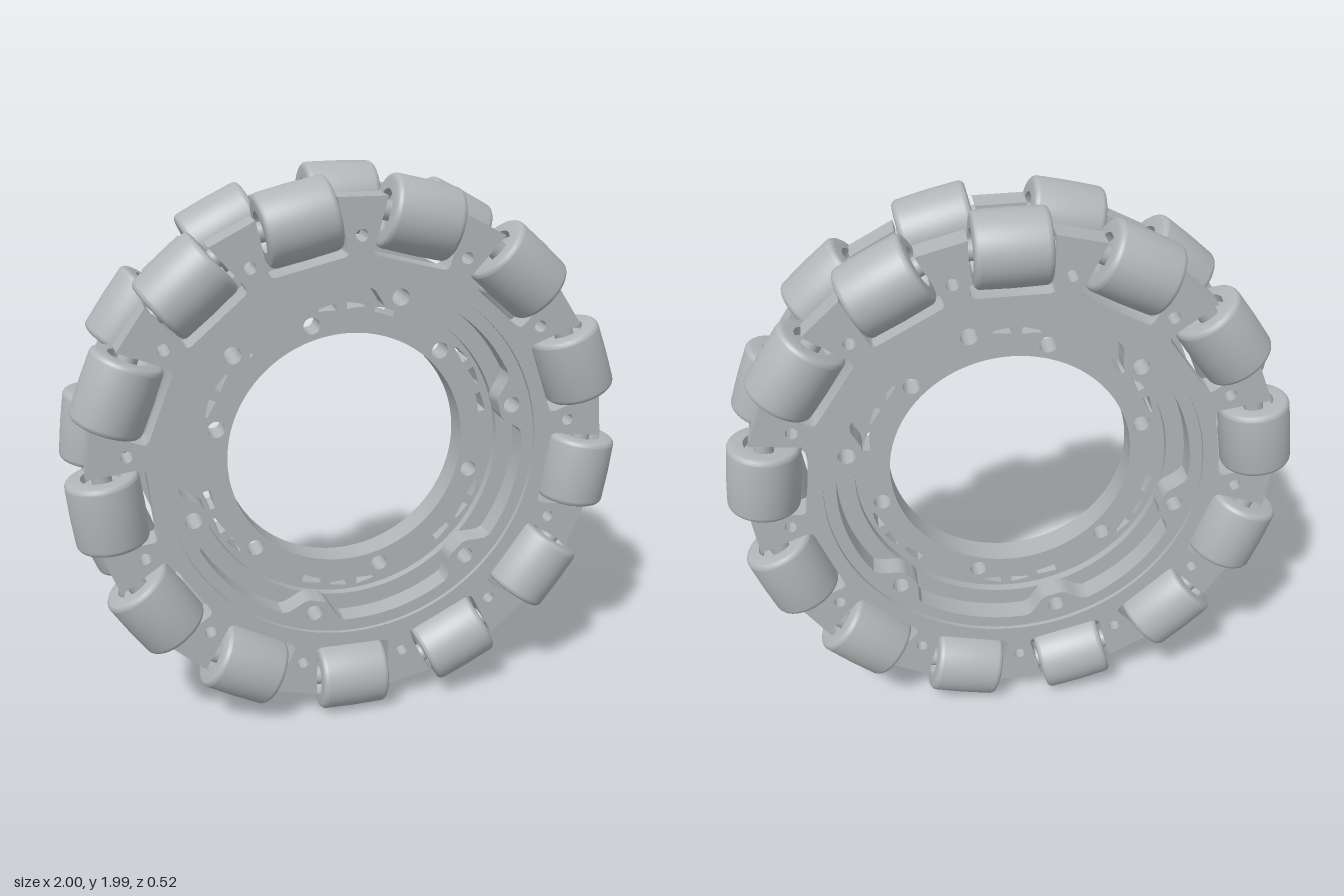
import * as THREE from 'three';
import { toCreasedNormals } from 'three/addons/utils/BufferGeometryUtils.js';

const N = 13;                       // rollers per row
const STEP = (Math.PI * 2) / N;
const RAD = Math.PI / 180;
const START = -91 * RAD;            // angle of the lowest front roller
const ROW_Z = 0.132;

const polar = (r, a) => new THREE.Vector2(r * Math.cos(a), r * Math.sin(a));

function circle(r, a, radius) {
  const c = polar(r, a);
  return new THREE.Path().absarc(c.x, c.y, radius, 0, Math.PI * 2, true);
}

function loop(fn, n = 180) {
  return Array.from({ length: n }, (_, i) => {
    const a = (i / n) * Math.PI * 2;
    return polar(fn(a), a);
  });
}

// Curved slot following the ring; one end may be narrower than the other
function slot(a0, a1, r0, w0, w1) {
  const pts = [];
  for (let i = 0; i <= 6; i++) pts.push(polar(r0 + w0 + ((w1 - w0) * i) / 6, a0 + ((a1 - a0) * i) / 6));
  for (let i = 6; i >= 0; i--) pts.push(polar(r0 - w0 - ((w1 - w0) * i) / 6, a0 + ((a1 - a0) * i) / 6));
  return new THREE.Path(pts);
}

// Flat plate between two depths
function plate(outline, holes, z0, z1) {
  const shape = new THREE.Shape(outline);
  shape.holes.push(...holes);
  const geo = new THREE.ExtrudeGeometry(shape, { depth: z1 - z0, bevelEnabled: false, curveSegments: 16 });
  geo.translate(0, 0, z0);
  return toCreasedNormals(geo, 0.5);
}

// Rim outline: a tab between each pair of roller pockets
function rimOutline(offset) {
  const pts = [];
  const half = 0.138, floor = 0.722, top = 0.93, f = 0.018;
  for (let i = 0; i < N; i++) {
    const a = offset + i * STEP;
    const put = (u, v) => pts.push(new THREE.Vector2(
      u * Math.cos(a) - v * Math.sin(a), u * Math.sin(a) + v * Math.cos(a)));
    const edge = Math.sqrt(top * top - half * half);
    put(edge, -half);
    put(floor + f, -half);
    put(floor + f * 0.3, -half + f * 0.3);
    put(floor, -half + f);
    put(floor, half - f);
    put(floor + f * 0.3, half - f * 0.3);
    put(floor + f, half);
    put(edge, half);
  }
  return pts;
}

// Barrel roller with rounded rims and a recessed bore, axis along y
function rollerGeometry() {
  const R = 0.127, h = 0.125, f = 0.02;
  const p = [[0.032, -h + 0.03], [0.066, -h + 0.03], [0.07, -h]];
  for (let i = 0; i <= 5; i++) {
    const t = (i / 5) * Math.PI / 2;
    p.push([R - 0.002 - f + f * Math.sin(t), -h + f - f * Math.cos(t)]);
  }
  p.push([R, 0]);
  const mirrored = p.slice(0, -1).reverse().map(([r, y]) => [r, -y]);
  const pts = p.concat(mirrored).map(([r, y]) => new THREE.Vector2(r, y));
  return toCreasedNormals(new THREE.LatheGeometry(pts, 48), 0.6);
}

export function createModel() {
  const model = new THREE.Group();
  model.name = 'omniWheel';
  const grey = new THREE.MeshStandardMaterial({ color: 0xb2b5b7 });
  grey.name = 'grey';

  const wheel = new THREE.Group();
  wheel.name = 'wheel';
  wheel.position.y = 1;
  model.add(wheel);

  const add = (parent, name, geo) => {
    const mesh = new THREE.Mesh(geo, grey);
    mesh.name = name;
    parent.add(mesh);
    return mesh;
  };

  const six = [0, 1, 2, 3, 4, 5].map((i) => i * 60 * RAD);
  const outerBolts = () => six.map((a) => circle(0.6, a + 15 * RAD, 0.03));
  const innerBolts = () => six.map((a) => circle(0.486, a + 45 * RAD, 0.03));

  // Wavy inner edge: a lobe reaches inward around each outer bolt
  const wavy = (a) => {
    const deg = ((a / RAD - 15 + 390) % 60) - 30;
    return 0.625 - 0.073 * (1 - THREE.MathUtils.smoothstep(Math.abs(deg), 3, 11));
  };

  // Hub ring with bolt holes and slots
  const slots = six.flatMap((a) => [
    slot(a + 11 * RAD, a + 19 * RAD, 0.522, 0.014, 0.009),
    slot(a + 23 * RAD, a + 30 * RAD, 0.533, 0.004, 0.012),
    slot(a + 34 * RAD, a + 41 * RAD, 0.532, 0.013, 0.004),
  ]);
  add(wheel, 'hubRing', plate(loop(() => 0.568),
    [new THREE.Path(loop(() => 0.435)), ...innerBolts(), ...slots], -0.05, 0.05));

  // Spacer ring joining the two rows
  add(wheel, 'spacerRing', plate(loop(() => 0.655),
    [new THREE.Path(loop(() => 0.56)), ...outerBolts()], -0.082, 0.082));

  const rollerGeo = rollerGeometry();
  const axleGeo = new THREE.CylinderGeometry(0.034, 0.034, 0.3, 20);

  // Front and back rows, turned half a step from each other
  for (const side of [1, -1]) {
    const row = new THREE.Group();
    row.name = side > 0 ? 'frontRow' : 'backRow';
    wheel.add(row);
    const offset = START + (side > 0 ? 0 : STEP / 2);
    const span = (lo, hi) => (side > 0 ? [lo, hi] : [-hi, -lo]);

    add(row, 'boltFlange', plate(loop(() => 0.68),
      [new THREE.Path(loop(wavy)), ...outerBolts()], ...span(0.08, 0.165)));

    const pinHoles = Array.from({ length: N }, (_, i) => circle(0.8, offset + (i + 0.5) * STEP, 0.021));
    add(row, 'rimPlate', plate(rimOutline(offset),
      [new THREE.Path(loop(() => 0.67)), ...pinHoles], ...span(0.085, 0.18)));

    for (let i = 0; i < N; i++) {
      const a = offset + i * STEP;
      const c = polar(0.868, a);
      for (const [name, geo] of [['roller', rollerGeo], ['axle', axleGeo]]) {
        const mesh = add(row, name, geo);
        mesh.position.set(c.x, c.y, side * ROW_Z);
        mesh.rotation.z = a;
      }
    }
  }
  return model;
}
